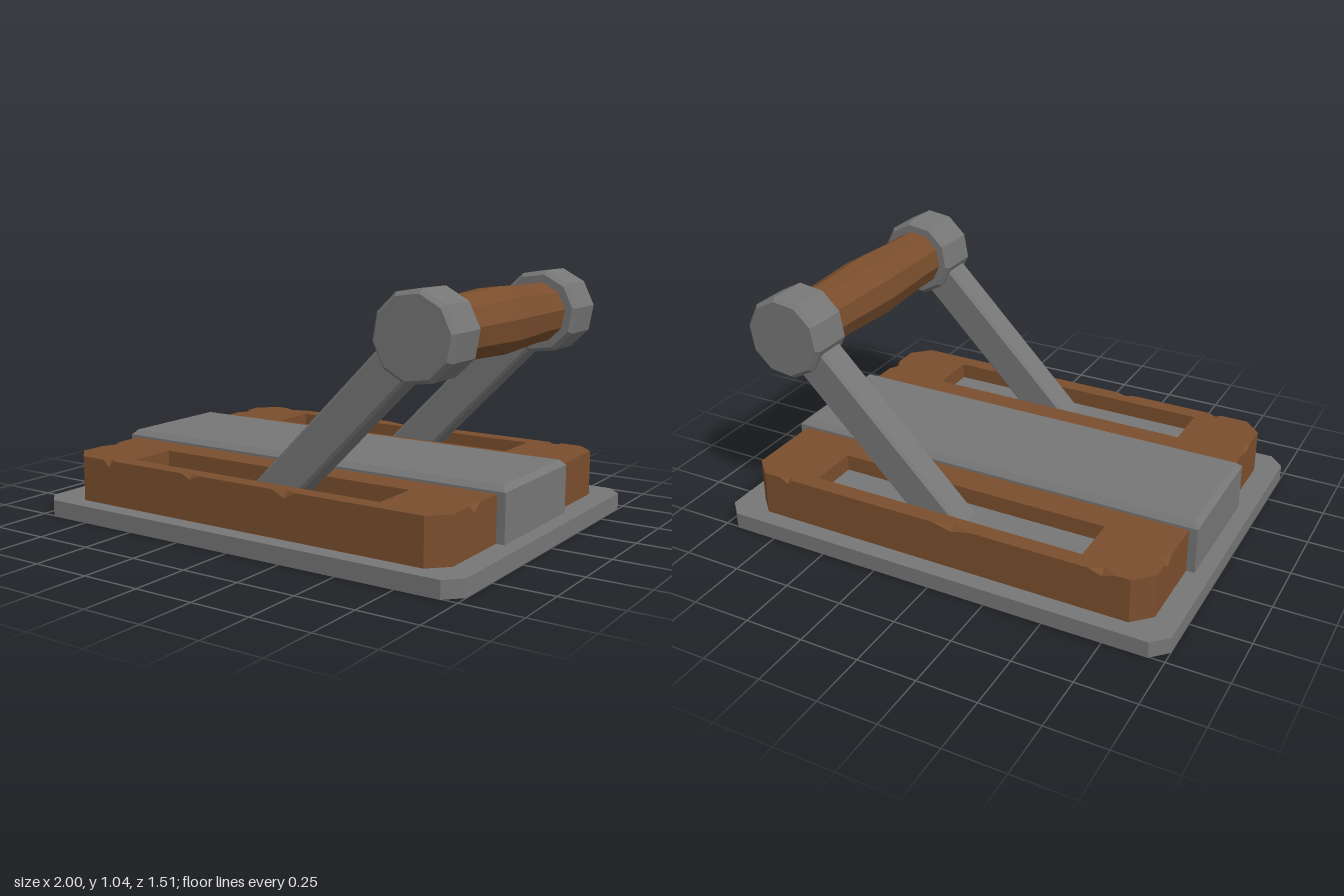
import * as THREE from 'three';
import { mergeGeometries } from 'three/addons/utils/BufferGeometryUtils.js';

const metal = new THREE.MeshStandardMaterial({ color: 0x767676, flatShading: true });
const wood = new THREE.MeshStandardMaterial({ color: 0x7a4e2d, flatShading: true });

const V2 = (x, y) => new THREE.Vector2(x, y);

function part(name, geometry, material) {
  const mesh = new THREE.Mesh(geometry, material);
  mesh.name = name;
  return mesh;
}

// Rectangle with cut corners, counter-clockwise
function cutRect(a, b, c) {
  return [V2(-a + c, -b), V2(a - c, -b), V2(a, -b + c), V2(a, b - c),
    V2(a - c, b), V2(-a + c, b), V2(-a, b - c), V2(-a, -b + c)];
}

function rect(x0, y0, x1, y1) {
  return [V2(x0, y0), V2(x1, y0), V2(x1, y1), V2(x0, y1)];
}

// Extrusion along z whose bevel stays inside the given outline and depth
function bevelled(points, depth, bevel) {
  const g = new THREE.ExtrudeGeometry(new THREE.Shape(points), {
    depth: depth - 2 * bevel, bevelEnabled: bevel > 0, bevelSegments: 1,
    bevelSize: bevel, bevelThickness: bevel, bevelOffset: -bevel,
  });
  return g.translate(0, 0, bevel);
}

// Wooden deck with two slots and chipped top edges.
// Plan coordinates are (x, -z). A chip is [distance from edge middle, half width, inset, drop].
function deckGeometry() {
  const y0 = 0.06, y1 = 0.26, h = y1 - y0;
  const corners = cutRect(0.9, 0.68, 0.075);
  const chips = {
    0: [[-0.68, 0.03, 0.02, 0.03], [-0.24, 0.045, 0.018, 0.02], [0.22, 0.055, 0.022, 0.028]],
    2: [[-0.45, 0.045, 0.025, 0.03]],
    4: [[-0.71, 0.035, 0.03, 0.02], [0.07, 0.09, 0.03, 0.02], [0.71, 0.055, 0.03, 0.02]],
    6: [[-0.5, 0.035, 0.04, 0.03], [0.44, 0.06, 0.025, 0.02]],
  };
  const pieces = [];
  const outline = [];

  // Upright wall from p to q, with its chips cut out and faced
  function wall(p, q, list = []) {
    const len = p.distanceTo(q);
    const dir = q.clone().sub(p).normalize();
    const at = (s, inset) => V2(p.x + dir.x * s - dir.y * inset, p.y + dir.y * s + dir.x * inset);
    const v3 = (s, inset, y) => { const a = at(s, inset); return new THREE.Vector3(a.x, y, -a.y); };
    const top = [V2(0, h)], tris = [], edge = [p];
    for (const [c, w, inset, drop] of list) {
      const s = len / 2 + c;
      top.push(V2(s - w, h), V2(s, h - drop), V2(s + w, h));
      edge.push(at(s - w, 0), at(s, inset), at(s + w, 0));
      const A = v3(s - w, 0, y1), B = v3(s + w, 0, y1);
      const C = v3(s, inset, y1), D = v3(s, 0, y1 - drop);
      tris.push(A, D, C, B, C, D);
    }
    const face = new THREE.ShapeGeometry(new THREE.Shape([V2(0, 0), V2(len, 0), V2(len, h), ...top.reverse()]));
    face.rotateY(Math.atan2(dir.y, dir.x)).translate(p.x, y0, -p.y);
    pieces.push(face);
    if (tris.length) pieces.push(new THREE.BufferGeometry().setFromPoints(tris));
    return edge;
  }

  corners.forEach((p, i) => outline.push(...wall(p, corners[(i + 1) % 8], chips[i])));
  const shape = new THREE.Shape(outline);
  for (const z of [-1, 1]) {
    const hole = rect(-0.6, z * 0.505 - 0.105, 0.6, z * 0.505 + 0.105).reverse();
    shape.holes.push(new THREE.Path(hole));
    hole.forEach((p, i) => wall(p, hole[(i + 1) % 4]));
  }
  pieces.push(new THREE.ShapeGeometry(shape).rotateX(-Math.PI / 2).translate(0, y1, 0));

  const flat = pieces.map((g) => {
    const n = g.index ? g.toNonIndexed() : g;
    n.deleteAttribute('uv');
    n.deleteAttribute('normal');
    return n;
  });
  const merged = mergeGeometries(flat);
  merged.computeVertexNormals();
  return merged;
}

// Ten-sided turned piece lying along z; profile points are (radius, z)
function turned(profile, phase) {
  const g = new THREE.LatheGeometry(profile.map(([r, z]) => V2(r, z)), 10);
  return g.rotateX(Math.PI / 2).rotateZ(phase);
}

export function createModel() {
  const model = new THREE.Group();
  model.name = 'leverSwitch';

  // Base plate
  const base = part('basePlate', bevelled(cutRect(1, 0.755, 0.065), 0.07, 0), metal);
  base.rotation.x = -Math.PI / 2;
  model.add(base);

  // Wooden deck
  model.add(part('woodenDeck', deckGeometry(), wood));

  // Raised metal band across the middle
  const band = part('centreBand', bevelled(rect(-0.935, -0.273, 0.935, 0.273), 0.26, 0.022), metal);
  band.rotation.x = -Math.PI / 2;
  band.position.y = 0.032;
  model.add(band);

  // Lever group with its origin on the handle axis
  const lever = new THREE.Group();
  lever.name = 'lever';
  lever.position.set(0.725, 0.865, 0);
  model.add(lever);

  const tilt = THREE.MathUtils.degToRad(45.4);
  const phase = THREE.MathUtils.degToRad(-10);
  for (const side of [-1, 1]) {
    const prefix = side > 0 ? 'front' : 'back';

    // Metal floor of the slot
    const floor = part(prefix + 'SlotFloor', new THREE.BoxGeometry(1.2, 0.13, 0.21), metal);
    floor.position.set(0, 0.125, side * 0.505);
    model.add(floor);

    // Slanted arm
    const arm = part(prefix + 'Arm',
      bevelled(rect(-1.09, -0.081, 0, 0.081), 0.13, 0.012).translate(0, 0, -0.065), metal);
    arm.rotation.z = tilt;
    arm.position.z = side * 0.506;
    lever.add(arm);

    // Knob at the end of the grip
    const knob = part(prefix + 'Knob',
      turned([[0, -0.101], [0.158, -0.101], [0.174, -0.083], [0.174, 0.083], [0.158, 0.101], [0, 0.101]], phase), metal);
    knob.position.z = side * 0.508;
    lever.add(knob);
  }

  // Wooden grip, slightly swollen in the middle
  lever.add(part('grip', turned([[0.126, -0.42], [0.126, -0.29], [0.139, 0], [0.126, 0.29], [0.126, 0.42]], phase), wood));

  return model;
}
